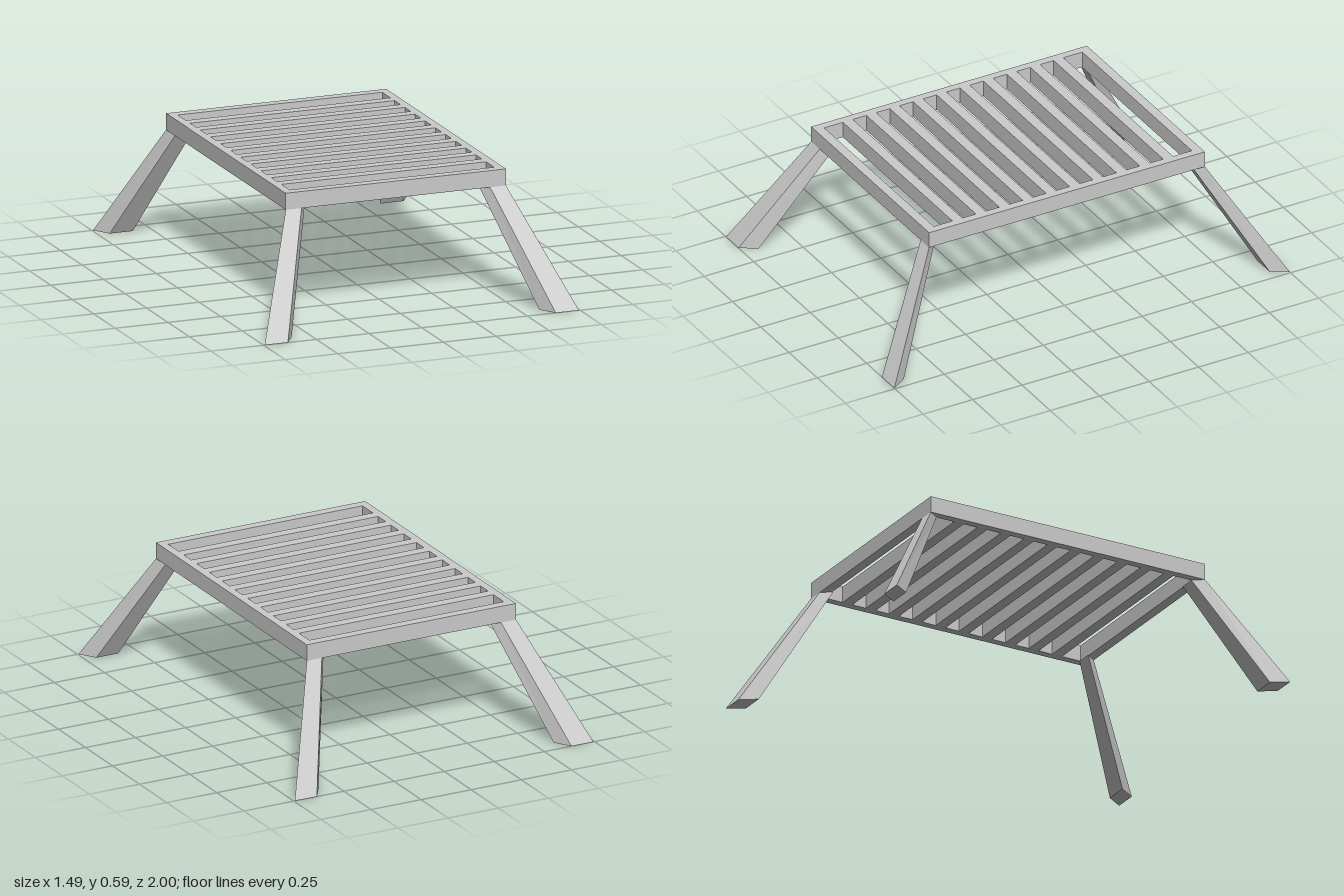
import * as THREE from 'three';

const material = new THREE.MeshStandardMaterial({ color: 0xcccccc, flatShading: true });

const TOP = 0.59, UNDER = 0.514;   // height of the slatted top and its underside
const HALF_X = 0.522, HALF_Z = 0.697;

// Rectangle outline around the origin in x, between two depths
function rectangle(path, halfX, z0, z1) {
  path.moveTo(-halfX, z0);
  path.lineTo(halfX, z0);
  path.lineTo(halfX, z1);
  path.lineTo(-halfX, z1);
  path.closePath();
  return path;
}

// Flat frame with eleven slots; the two end slots are wider
function createSlattedTop() {
  const shape = rectangle(new THREE.Shape(), HALF_X, -HALF_Z, HALF_Z);
  const pitch = 0.1184, half = 0.0345, slots = 11, endExtra = 0.026;
  for (let i = 0; i < slots; i++) {
    const z = (i - (slots - 1) / 2) * pitch;
    const z0 = z - half - (i === 0 ? endExtra : 0);
    const z1 = z + half + (i === slots - 1 ? endExtra : 0);
    shape.holes.push(rectangle(new THREE.Path(), 0.485, z0, z1));
  }
  const geometry = new THREE.ExtrudeGeometry(shape, { depth: TOP - UNDER, bevelEnabled: false });
  geometry.rotateX(-Math.PI / 2).translate(0, UNDER, 0);
  const mesh = new THREE.Mesh(geometry, material);
  mesh.name = 'slattedTop';
  return mesh;
}

// Splayed, tapering leg: a box whose corners move to the corner of the frame and the foot
function createLeg(sx, sz, name) {
  const geometry = new THREE.BoxGeometry(2, 2, 2);
  const p = geometry.attributes.position;
  for (let i = 0; i < p.count; i++) {
    const outerX = p.getX(i) * sx > 0, upper = p.getY(i) > 0, outerZ = p.getZ(i) * sz > 0;
    let x, z;
    if (upper) {
      x = (outerX ? HALF_X : 0.447) - (outerZ ? 0 : 0.035);
      z = outerZ ? HALF_Z : 0.648;
    } else {
      x = (outerX ? 0.745 : 0.635) - (outerZ ? 0 : 0.048);
      z = outerZ ? 1 : 0.925;
    }
    p.setXYZ(i, x * sx, upper ? UNDER : 0, z * sz);
  }
  geometry.computeVertexNormals();
  const mesh = new THREE.Mesh(geometry, material);
  mesh.name = name;
  return mesh;
}

export function createModel() {
  const group = new THREE.Group();
  group.name = 'slattedTable';
  group.add(createSlattedTop());
  for (const [sz, end] of [[1, 'front'], [-1, 'back']])
    for (const [sx, side] of [[1, 'Left'], [-1, 'Right']])
      group.add(createLeg(sx, sz, `${end}${side}Leg`));
  return group;
}
